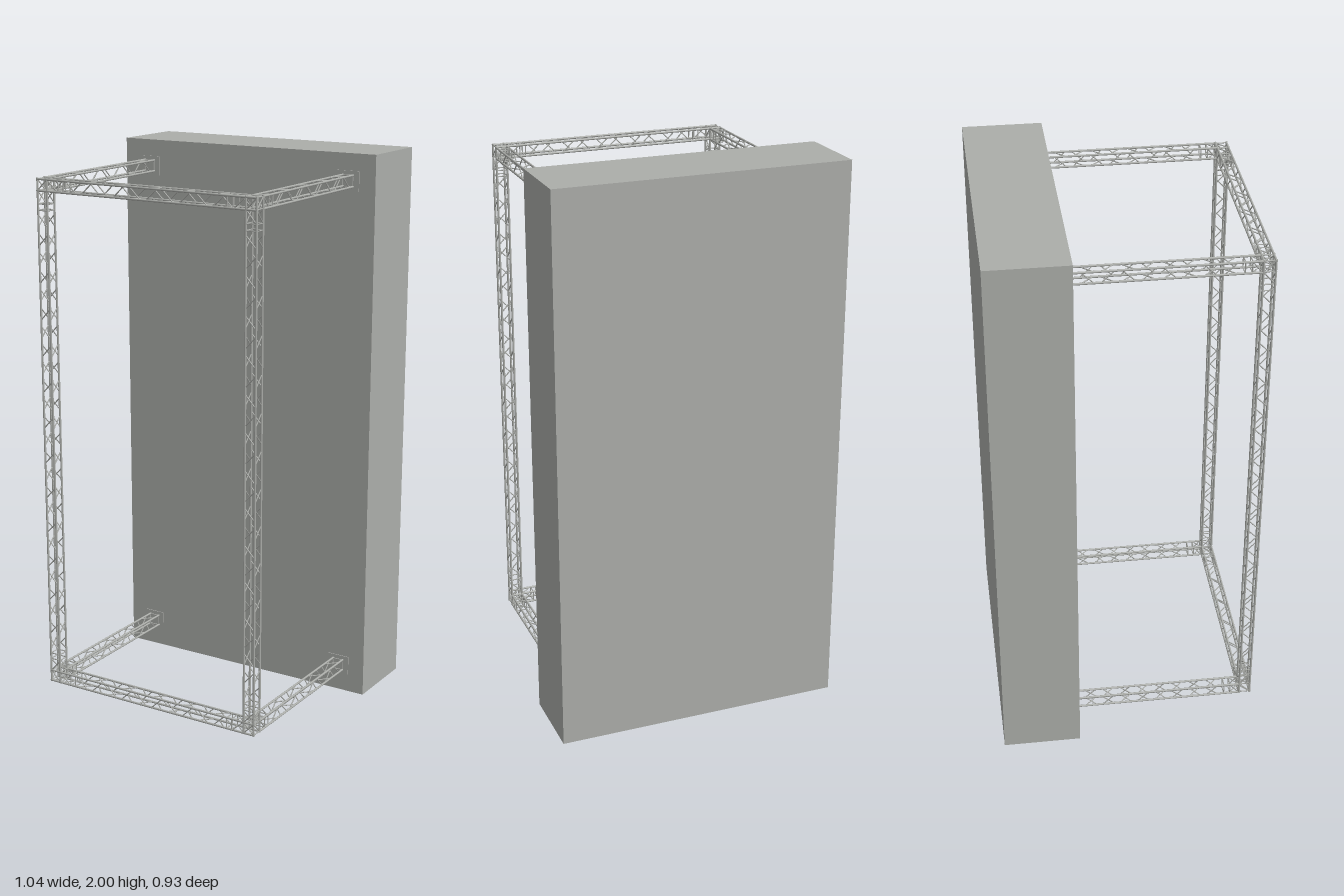
import * as THREE from 'three';
import { mergeGeometries } from 'three/addons/utils/BufferGeometryUtils.js';

const HALF = 0.0198;      // chord offset from truss centre line
const CHORD = 0.0039;     // chord radius
const BRACE = 0.0021;     // brace radius
const PITCH = 0.065;      // spacing of the lattice crossings
const CORNERS = [[-1, -1], [1, -1], [1, 1], [-1, 1]];

// Round bar between two points
function rod(a, b, radius, sides) {
  const dir = b.clone().sub(a);
  const g = new THREE.CylinderGeometry(radius, radius, dir.length(), sides);
  g.applyQuaternion(new THREE.Quaternion().setFromUnitVectors(new THREE.Vector3(0, 1, 0), dir.normalize()));
  return g.translate((a.x + b.x) / 2, (a.y + b.y) / 2, (a.z + b.z) / 2);
}

// Box truss: four chords, square frames at given stations, mirrored zigzag
// braces on opposite faces, and single diagonals over the given spans
function truss(name, material, map, start, end, { from, to, frames, spans }) {
  const parts = [];
  const at = (t, c) => map(t, c[0] * HALF, c[1] * HALF);
  CORNERS.forEach((c, i) => {
    const d = CORNERS[(i + 1) % 4];
    parts.push(rod(at(start, c), at(end, c), CHORD, 10));
    for (const t of frames) parts.push(rod(at(t, c), at(t, d), BRACE, 6));
    for (const [t0, t1] of spans) parts.push(rod(at(t0, c), at(t1, d), BRACE, 6));
    const count = Math.round((to - from) / PITCH) + 1;
    for (let k = 0; k < count; k++) {
      const t = from + (to - from) * k / (count - 1);
      const s = k % 2 ? -1 : 1;
      parts.push(rod(at(t - s * 0.021, c), at(t + s * 0.021, d), BRACE, 6));
    }
  });
  const mesh = new THREE.Mesh(mergeGeometries(parts), material);
  mesh.name = name;
  return mesh;
}

export function createModel() {
  const model = new THREE.Group();
  model.name = 'trussFrameWithWall';
  const grey = new THREE.MeshStandardMaterial({ color: 0xacaeaa });
  grey.name = 'light grey';
  const V = (x, y, z) => new THREE.Vector3(x, y, z);

  // Thick back wall
  const wall = new THREE.Mesh(new THREE.BoxGeometry(1.036, 2, 0.28), grey);
  wall.name = 'backWall';
  wall.position.set(0, 1, -0.328);
  model.add(wall);

  const X = 0.413, Z = 0.443, LOW = 0.102, HIGH = 1.905;

  for (const side of [1, -1]) {
    const label = side > 0 ? 'left' : 'right';

    // Upright columns, including the corner cubes
    model.add(truss(label + 'Column', grey, (t, u, v) => V(side * X + u, t, Z + v), 0.079, 1.929, {
      from: 0.225, to: 1.782,
      frames: [0.083, 0.122, 0.168, 0.19, 1.818, 1.84, 1.886, 1.925],
      spans: [[0.083, 0.122], [0.165, 0.122], [1.84, 1.886], [1.925, 1.886]],
    }));

    for (const [level, y] of [['Lower', LOW], ['Upper', HIGH]]) {
      // Arms running back to the wall
      model.add(truss(label + level + 'Arm', grey, (t, u, v) => V(side * X + u, y + v, t), -0.188, 0.422, {
        from: -0.135, to: 0.32,
        frames: [-0.182, 0.365, 0.388, 0.42],
        spans: [[0.388, 0.42]],
      }));

      // Flange where the arm meets the wall
      const plate = new THREE.Mesh(new THREE.BoxGeometry(0.085, 0.07, 0.004), grey);
      plate.name = label + level + 'Flange';
      plate.position.set(side * X, y, -0.187);
      model.add(plate);
    }
  }

  // Front cross beams, running through the corner cubes
  for (const [level, y] of [['lower', LOW], ['upper', HIGH]]) {
    model.add(truss(level + 'FrontBeam', grey, (t, u, v) => V(t, y + u, Z + v), -0.436, 0.436, {
      from: -0.2925, to: 0.2925,
      frames: [-0.392, -0.345, -0.324, 0.324, 0.345, 0.392],
      spans: [[-0.432, -0.394], [-0.392, -0.348], [0.392, 0.348], [0.432, 0.394]],
    }));
  }
  return model;
}
